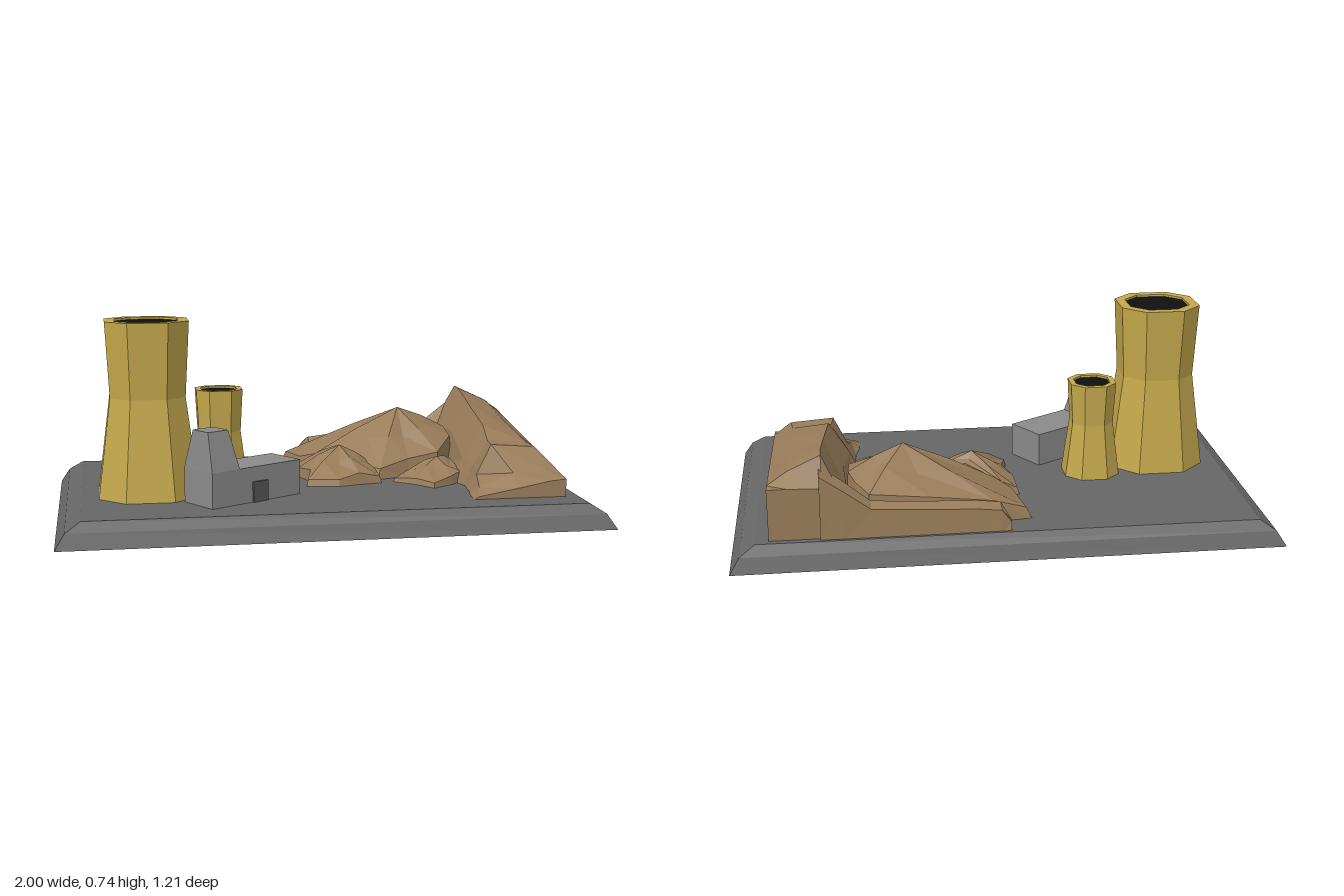
import * as THREE from 'three';

const mat = (name, color) => {
  const m = new THREE.MeshStandardMaterial({ color, flatShading: true, side: THREE.DoubleSide });
  m.name = name;
  return m;
};

const GROUND = 0.084; // parts sink slightly through the top plate

// Skin a list of cross-sections (each a list of [x, y, z]) with flat faces
function loft(sections, closed) {
  const pos = [];
  const rows = sections.map(s => (closed ? [...s, s[0]] : s));
  for (let i = 0; i + 1 < rows.length; i++) {
    for (let j = 0; j + 1 < rows[i].length; j++) {
      const a = rows[i][j], b = rows[i][j + 1], c = rows[i + 1][j + 1], d = rows[i + 1][j];
      pos.push(...a, ...c, ...b, ...a, ...d, ...c);
    }
  }
  const g = new THREE.BufferGeometry();
  g.setAttribute('position', new THREE.Float32BufferAttribute(pos, 3));
  g.computeVertexNormals();
  return g;
}

const rect = (hx, hz, y, cx = 0) =>
  [[hx, -hz], [hx, hz], [-hx, hz], [-hx, -hz]].map(([x, z]) => [x + cx, y, z]);

// Square with wide chamfered corners
const octagon = (a, y) => {
  const h = a * 0.48;
  return [[a, -h], [a, h], [h, a], [-h, a], [-a, h], [-a, -h], [-h, -a], [h, -a]]
    .map(([x, z]) => [x, y, z]);
};

export function createModel() {
  const root = new THREE.Group();
  const grey = mat('base grey', 0x666666);
  const gold = mat('tower yellow', 0xc4a84c);
  const black = mat('tower opening black', 0x101010);
  const stone = mat('building grey', 0x8a8a8a);
  const doorGrey = mat('door grey', 0x565656);
  const earth = mat('earth brown', 0x987c5a);

  const add = (name, geometry, material, parent = root) => {
    const mesh = new THREE.Mesh(geometry, material);
    mesh.name = name;
    parent.add(mesh);
    return mesh;
  };

  // Bevelled base plate, open underneath
  add('base', loft([
    rect(1, 0.605, 0), rect(0.965, 0.582, 0.055), rect(0.91, 0.553, 0.09), rect(0, 0, 0.09),
  ], true), grey);

  // Cooling towers: the small one is the same shape scaled down
  const tower = (name, x, z, s) => {
    const g = new THREE.Group();
    g.name = name;
    g.position.set(x, 0, z);
    const y = h => 0.09 + h * s;
    add('towerShell', loft([
      octagon(0.186 * s, GROUND), octagon(0.138 * s, y(0.37)), octagon(0.153 * s, y(0.65)),
      octagon(0.116 * s, y(0.65)), octagon(0.114 * s, y(0.61)),
    ], true), gold, g);
    const top = y(0.65) - 0.008;
    add('towerOpening', loft([octagon(0.116 * s, top), octagon(0, top)], true), black, g);
    root.add(g);
  };
  tower('largeTower', -0.66, 0.122, 1);
  tower('smallTower', -0.385, 0.006, 0.575);

  // Building with tapered stack, turned towards the front right
  const building = new THREE.Group();
  building.name = 'building';
  building.position.set(-0.32, 0, 0.261);
  building.rotation.y = 0.561;
  root.add(building);
  const hall = add('hall', new THREE.BoxGeometry(0.286, 0.136, 0.168), stone, building);
  hall.position.set(0.061, 0.152, 0);
  add('stack', loft([
    rect(0.062, 0.084, GROUND, -0.142), rect(0.062, 0.084, 0.22, -0.142),
    rect(0.045, 0.045, 0.36, -0.147), rect(0, 0, 0.36, -0.147),
  ], true), stone, building);
  const door = add('door', new THREE.BoxGeometry(0.068, 0.077, 0.009), doorGrey, building);
  door.position.set(0.012, 0.127, 0.087);

  // Long ridge on the right: z, then foot, shoulder, two crest points and outer edge
  const ridge = [
    [-0.53, 0.55, 0.57, 0.18, 0.67, 0.28, 0.79, 0.283, 0.283],
    [-0.48, 0.55, 0.57, 0.2, 0.67, 0.386, 0.79, 0.33, 0.28],
    [-0.42, 0.55, 0.58, 0.22, 0.67, 0.386, 0.79, 0.33, 0.27],
    [-0.22, 0.55, 0.59, 0.24, 0.66, 0.35, 0.785, 0.3, 0.243],
    [0.08, 0.51, 0.56, 0.18, 0.64, 0.305, 0.78, 0.27, 0.203],
    [0.18, 0.54, 0.575, 0.17, 0.63, 0.263, 0.78, 0.255, 0.19],
    [0.265, 0.53, 0.565, 0.15, 0.62, 0.263, 0.79, 0.25, 0.178],
    [0.36, 0.51, 0.55, 0.12, 0.68, 0.17, 0.81, 0.175, 0.165],
    [0.43, 0.505, 0.53, 0.1, 0.67, 0.125, 0.8, 0.15, 0.156],
  ].map(([z, foot, sx, sy, cx, cy, dx, dy, ey]) => [
    [foot, GROUND, z], [sx, sy, z], [cx, cy, z], [dx, dy, z], [0.862 - Math.max(0, 0.03 - Math.abs(z)), ey, z],
    [0.862, GROUND, z],
  ]);
  const endCap = (s) => s.map(() => [0.7, GROUND, s[0][2]]);
  add('ridge', loft([endCap(ridge[0]), ...ridge, endCap(ridge[ridge.length - 1])], false), earth);

  // Low bank along the back: x, front z, top height
  const bank = [
    [0.0, -0.5, 0.13], [0.035, -0.425, 0.18], [0.12, -0.43, 0.19],
    [0.35, -0.45, 0.2], [0.5, -0.45, 0.21], [0.6, -0.42, 0.29], [0.68, -0.42, 0.35],
  ].map(([x, zf, h]) => [
    [x, GROUND, zf], [x, h * 0.8, zf - 0.005], [x, h, Math.min(zf - 0.04, -0.485)],
    [x, h * 0.93, -0.535], [x, GROUND, -0.543],
  ]);
  add('backBank', loft([bank[0].map(() => [0, GROUND, -0.52]), ...bank], false), earth);

  // Faceted mounds: outline of [x, z, rim height] rising to a peak
  const mound = (name, [px, py, pz], outline) => {
    const ring = (t, lift) => outline.map(([x, z, y], i) => [
      x + (px - x) * t,
      y + (py - y) * t + lift * (i % 2 ? 1 : -1),
      z + (pz - z) * t,
    ]);
    const foot = outline.map(([x, z]) => [x, GROUND, z]);
    add(name, loft([foot, ring(0.05, 0), ring(0.5, 0.008), ring(1, 0)], true), earth);
  };
  mound('largeMound', [0.37, 0.335, -0.25], [
    [-0.09, -0.44, 0.12], [0.04, -0.455, 0.16], [0.28, -0.465, 0.19], [0.51, -0.46, 0.21],
    [0.56, -0.38, 0.23], [0.585, -0.29, 0.24], [0.58, -0.16, 0.22], [0.5, -0.05, 0.17],
    [0.37, -0.03, 0.15], [0.24, 0.02, 0.12], [0.08, -0.07, 0.14], [0, -0.2, 0.15],
    [-0.055, -0.26, 0.13],
  ]);
  mound('leftMound', [0.095, 0.22, -0.06], [
    [-0.075, -0.21, 0.11], [-0.01, -0.215, 0.14], [0.125, -0.1, 0.18], [0.23, -0.06, 0.14],
    [0.24, 0.08, 0.11], [0.15, 0.1, 0.13], [0.065, 0.125, 0.11], [-0.06, 0.1, 0.11],
    [-0.035, 0.0, 0.13], [-0.07, -0.1, 0.12],
  ]);
  mound('frontMound', [0.47, 0.178, 0.02], [
    [0.285, 0.065, 0.1], [0.38, 0.0, 0.13], [0.47, -0.05, 0.15], [0.55, -0.05, 0.15],
    [0.55, 0.11, 0.13], [0.5, 0.155, 0.12], [0.415, 0.215, 0.105], [0.36, 0.135, 0.11],
  ]);

  return root;
}
